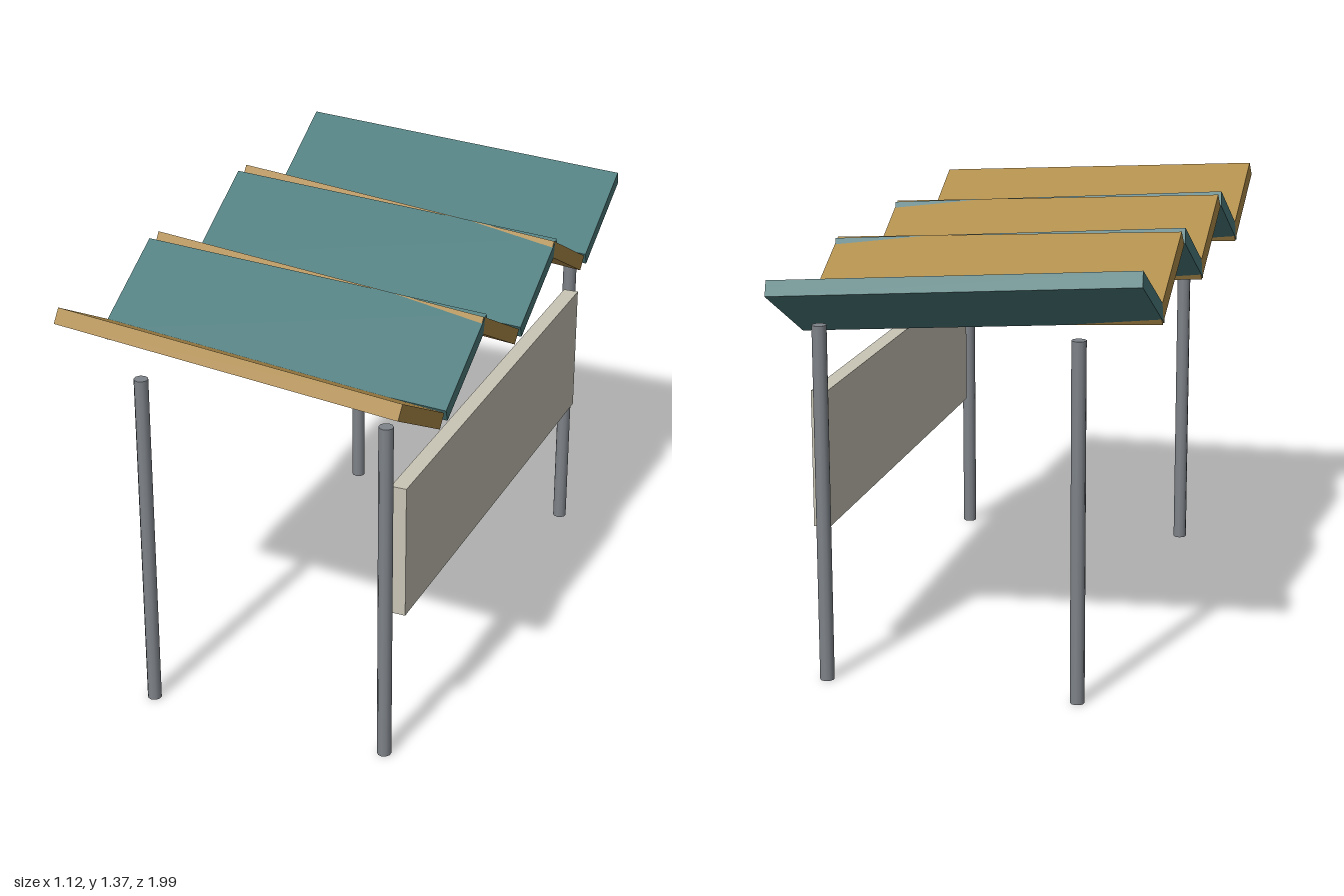
import * as THREE from 'three';

const paint = (name, color) => Object.assign(new THREE.MeshStandardMaterial({ color }), { name });

export function createModel() {
  const ochre = paint('ochre', 0xb08d4b);
  const teal = paint('teal', 0x4e7c7d);
  const steel = paint('steel grey', 0x7f848a);
  const stone = paint('pale stone', 0xc9c5b6);

  const model = new THREE.Group();
  model.name = 'foldedRoofShelter';

  const add = (name, geometry, material, x, y, z) => {
    const mesh = new THREE.Mesh(geometry, material);
    mesh.name = name;
    mesh.position.set(x, y, z);
    model.add(mesh);
    return mesh;
  };

  // Zigzag roof: six slabs tilted alternately, all sloping down towards +x
  const roof = new THREE.Group();
  roof.name = 'roof';
  model.add(roof);
  const slab = new THREE.BoxGeometry(1.12, 0.05, 0.37);
  for (let i = 0; i < 6; i++) {
    const rising = i % 2 === 1;
    const panel = add(`roofPanel${i + 1}`, slab, rising ? ochre : teal, 0, 1.22, -0.8 + i * 0.32);
    panel.rotation.set(rising ? -0.5 : 0.5, 0, -0.08);
    roof.add(panel);
  }

  // Four slim posts
  const post = new THREE.CylinderGeometry(0.0225, 0.0225, 1.13, 10);
  for (const [side, x] of [['right', -0.347], ['left', 0.45]]) {
    for (const [end, z] of [['Front', 0.825], ['Back', -0.825]]) {
      add(`${side}${end}Post`, post, steel, x, 0.565, z);
    }
  }

  // Side board between the left posts
  add('sideBoard', new THREE.BoxGeometry(0.05, 0.432, 1.56), stone, 0.472, 0.696, 0);

  return model;
}
